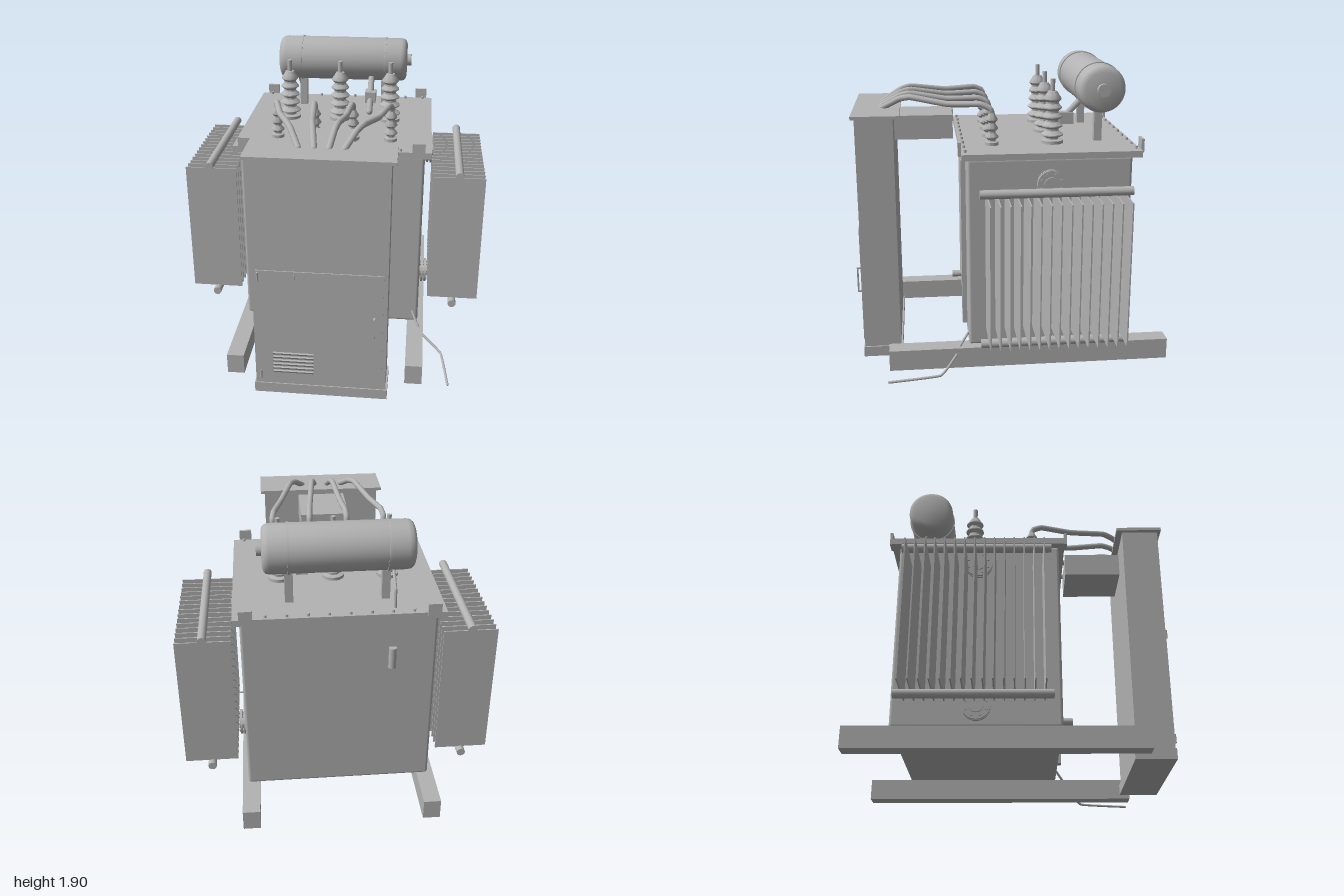
import * as THREE from 'three';
import { toCreasedNormals } from 'three/addons/utils/BufferGeometryUtils.js';
import { RoundedBoxGeometry } from 'three/addons/geometries/RoundedBoxGeometry.js';

const grey = new THREE.MeshStandardMaterial({ color: 0xb3b3b3 });
grey.name = 'paintedGrey';

export function createModel() {
  const root = new THREE.Group();
  root.name = 'transformer';

  const add = (name, geo, x = 0, y = 0, z = 0) => {
    const m = new THREE.Mesh(geo, grey);
    m.name = name;
    m.position.set(x, y, z);
    root.add(m);
    return m;
  };
  // box from its limits on each axis
  const box = (name, x0, x1, y0, y1, z0, z1) =>
    add(name, new THREE.BoxGeometry(x1 - x0, y1 - y0, z1 - z0),
      (x0 + x1) / 2, (y0 + y1) / 2, (z0 + z1) / 2);
  // cylinder centred on a point, along a chosen axis
  const rod = (name, axis, r, len, x, y, z, seg = 24) => {
    const g = new THREE.CylinderGeometry(r, r, len, seg);
    if (axis === 'x') g.rotateZ(-Math.PI / 2);
    if (axis === 'z') g.rotateX(Math.PI / 2);
    return add(name, g, x, y, z);
  };
  const lathe = (pts, seg = 32) => toCreasedNormals(
    new THREE.LatheGeometry(pts.map(p => new THREE.Vector2(...p)), seg), 0.7);
  const tube = (name, pts, r) => {
    const c = new THREE.CatmullRomCurve3(pts.map(p => new THREE.Vector3(...p)), false, 'catmullrom', 0.15);
    add(name, new THREE.TubeGeometry(c, 48, r, 12));
    add(name + 'Tip', new THREE.SphereGeometry(r, 12, 8), ...pts[pts.length - 1]);
  };

  // tank, lid and skids
  add('tank', new RoundedBoxGeometry(1.18, 1.22, 1.02, 3, 0.018), 0, 0.75, -0.22);
  box('lid', -0.63, 0.63, 1.36, 1.4, -0.78, 0.325);
  for (const s of [-1, 1]) {
    box('skid', s * 0.575 - 0.055, s * 0.575 + 0.055, 0, 0.135, -1, 0.8);
    box('liftingLug', s * 0.55 - 0.04, s * 0.55 + 0.04, 1.38, 1.465, 0.325, 0.343);
    box('liftingLug', s * 0.55 - 0.04, s * 0.55 + 0.04, 1.38, 1.465, -0.798, -0.78);
  }
  for (const z of [0.3, -0.755])
    for (let i = 0; i < 10; i++) rod('lidBolt', 'y', 0.009, 0.016, -0.56 + i * 0.1245, 1.408, z, 8);

  // radiators, header pipes and flanges
  for (const s of [-1, 1]) {
    for (let i = 0; i < 15; i++) {
      const z = -0.64 + i * 0.0587;
      box('radiatorFin', s * 0.82 - 0.17, s * 0.82 + 0.17, 0.28, 1.18, z - 0.004, z + 0.004);
    }
    for (const y of [0.257, 1.207]) {
      rod('headerPipe', 'x' === 'z' ? 'x' : 'z', 0.027, 0.91, s * 0.82, y, -0.225);
      rod('flangeNeck', 'x', 0.045, 0.07, s * 0.615, y, -0.22);
      for (const x of [0.611, 0.634]) rod('flange', 'x', 0.085, 0.014, s * x, y, -0.22, 32);
      for (let k = 0; k < 8; k++) {
        const a = (k + 0.5) * Math.PI / 4;
        rod('flangeBolt', 'x', 0.008, 0.056, s * 0.622, y + 0.066 * Math.sin(a), -0.22 + 0.066 * Math.cos(a), 8);
      }
    }
  }

  // conservator drum with rounded ends
  const drumPts = [[0, -0.45], [0.11, -0.448], [0.13, -0.44], [0.143, -0.425], [0.148, -0.4],
    [0.148, 0.4], [0.143, 0.422], [0.13, 0.435], [0.11, 0.442], [0, 0.445]];
  const drum = add('conservatorDrum', lathe(drumPts, 48), 0, 1.745, -0.565);
  drum.rotation.z = -Math.PI / 2;
  rod('drumGauge', 'x', 0.04, 0.03, 0.458, 1.745, -0.565);
  for (const x of [-0.29, 0.29]) {
    rod('drumBand', 'x', 0.154, 0.012, x, 1.745, -0.565, 48);
    box('drumPost', x - 0.025, x + 0.025, 1.4, 1.63, -0.59, -0.54);
  }
  tube('breatherPipe', [[-0.33, 1.61, -0.58], [-0.33, 1.575, -0.62], [-0.33, 1.51, -0.69], [-0.33, 1.4, -0.70]], 0.009);
  tube('oilPipe', [[0.2, 1.67, -0.49], [0.2, 1.45, -0.28]], 0.021);
  box('oilRelay', 0.165, 0.238, 1.495, 1.57, -0.42, -0.33);

  // ribbed insulators
  const bushing = (name, x, z, r, core, y0, pitch, sheds, topY) => {
    const p = [[r, 0], [r, pitch * 0.35], [core, pitch * 0.45]];
    let y = pitch * 0.6;
    for (let i = 0; i < sheds; i++, y += pitch) {
      const w = r * (1 - 0.05 * i);
      p.push([core, y], [w, y + pitch * 0.28], [w, y + pitch * 0.4], [core, y + pitch * 0.8]);
    }
    p.push([core * 0.7, y + 0.01], [0, y + 0.012]);
    add(name, lathe(p), x, y0, z);
    rod(name + 'Stud', 'y', core * 0.38, topY - y0 - y + 0.01, x, (topY + y0 + y - 0.01) / 2, z, 16);
  };
  for (const x of [-0.345, 0, 0.34]) bushing('highVoltageBushing', x, -0.265, 0.07, 0.04, 1.4, 0.057, 5, 1.805);

  // low voltage insulators with their cables to the cabinet
  [[-0.37, -0.135], [-0.125, -0.045], [0.12, 0.042], [0.365, 0.13]].forEach(([x, end]) => {
    bushing('lowVoltageBushing', x, 0.12, 0.042, 0.024, 1.4, 0.055, 3, 1.62);
    const at = t => x + (end - x) * t;
    tube('cable', [[x, 1.6, 0.12], [x, 1.63, 0.13], [at(0.05), 1.655, 0.19], [at(0.28), 1.65, 0.39],
      [at(0.6), 1.685, 0.62], [at(0.75), 1.67, 0.69], [end, 1.6, 0.81]], 0.019);
  });

  // control cabinet
  box('cabinetBase', -0.415, 0.415, 0, 0.068, 0.72, 0.972);
  box('cabinet', -0.405, 0.405, 0.068, 1.585, 0.73, 0.965);
  box('cabinetRoof', -0.433, 0.433, 1.585, 1.605, 0.69, 0.987);
  box('cableDuct', -0.163, 0.163, 1.4, 1.555, 0.355, 0.735);
  box('cabinetDoor', -0.38, 0.38, 0.105, 0.88, 0.965, 0.972);
  for (const y of [0.14, 0.84]) rod('doorHinge', 'y', 0.006, 0.055, -0.37, y, 0.976, 10);
  box('doorLatch', -0.153, -0.147, 0.76, 0.86, 0.972, 0.98);
  for (let i = 0; i < 6; i++) {
    const y = 0.163 + i * 0.0265;
    box('louver', -0.29, -0.04, y, y + 0.013, 0.972, 0.983).rotation.x = 0.4;
  }
  box('doorHandle', 0.322, 0.334, 0.425, 0.595, 0.99, 1);
  for (const y of [0.43, 0.59]) box('handleMount', 0.322, 0.334, y - 0.005, y + 0.005, 0.97, 0.992);

  // tank fittings
  box('wiringChannel', 0.33, 0.39, 0.2, 1.31, 0.285, 0.32);
  rod('drainValve', 'z', 0.024, 0.07, -0.415, 0.232, 0.32);
  rod('oilSampler', 'y', 0.024, 0.14, -0.32, 1.075, -0.74, 16);
  tube('groundCable', [[0.55, 0.22, 0.285], [0.6, 0.13, 0.355], [0.63, 0.09, 0.375],
    [0.755, 0.018, 0.48], [0.795, 0.01, 0.8]], 0.008);

  return root;
}
